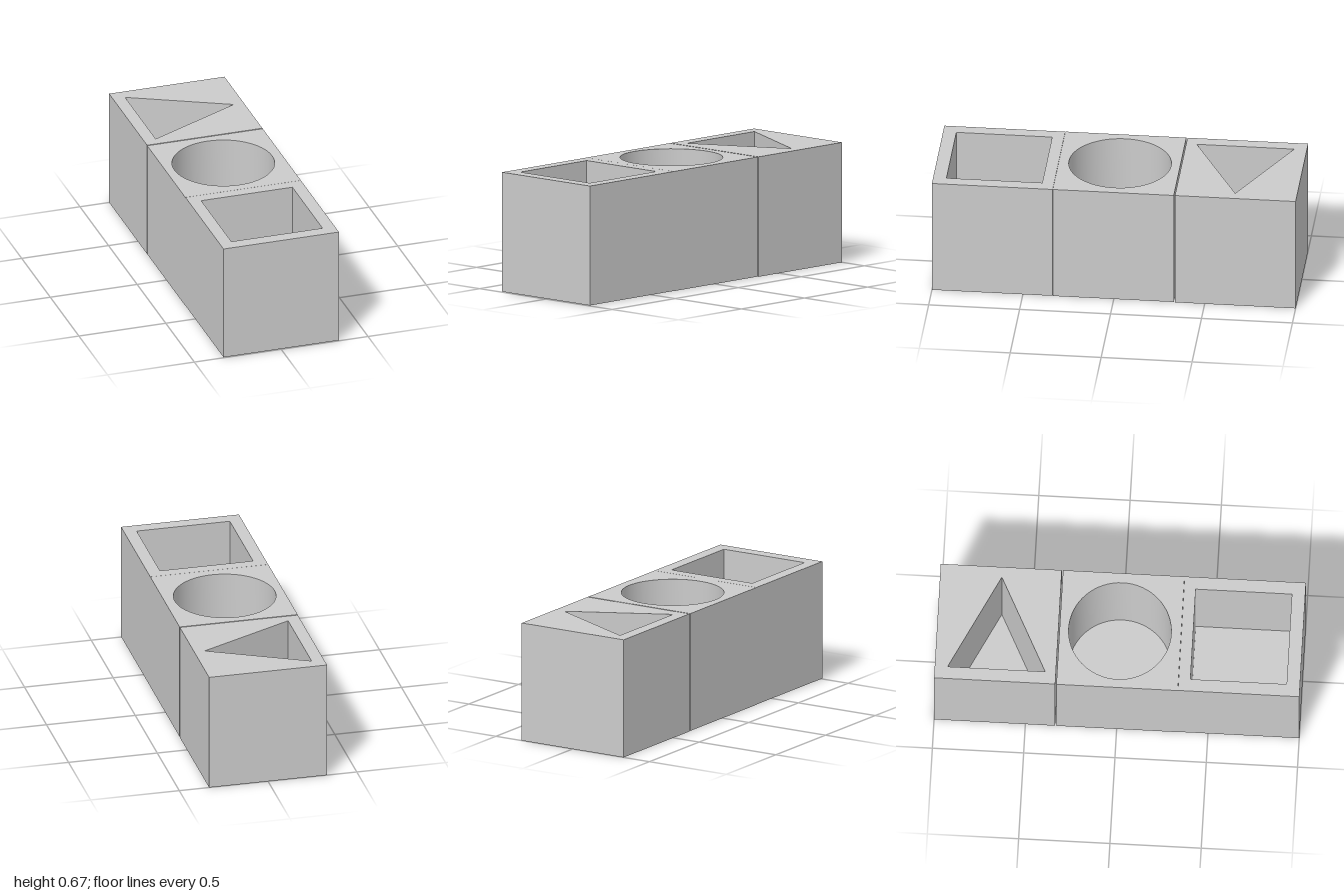
import * as THREE from 'three';
import { toCreasedNormals } from 'three/addons/utils/BufferGeometryUtils.js';

const TOP = 0.665, FLOOR = 0.07;
const material = new THREE.MeshStandardMaterial({ color: 0xcccccc });

// Plan outlines use (x, -z), counter-clockwise seen from above
const plan = pts => pts.map(([x, z]) => new THREE.Vector2(x, -z));
const rect = (x0, x1, z0, z1) => plan([[x0, z1], [x1, z1], [x1, z0], [x0, z0]]);
const circle = (cx, cz, r, n = 64) => plan(Array.from({ length: n }, (_, i) => {
  const a = (i / n) * Math.PI * 2;
  return [cx + r * Math.cos(a), cz - r * Math.sin(a)];
}));

function addMesh(group, name, geometry) {
  const mesh = new THREE.Mesh(geometry, material);
  mesh.name = name;
  group.add(mesh);
}

// Horizontal face looking up at height y
function flatFace(outline, y, hole) {
  const shape = new THREE.Shape(outline);
  if (hole) shape.holes.push(new THREE.Path(hole));
  return new THREE.ShapeGeometry(shape).rotateX(-Math.PI / 2).translate(0, y, 0);
}

// Inward-facing walls following an outline
function pocketWalls(outline, y0, y1) {
  const n = outline.length, pos = [], index = [];
  outline.forEach((p, i) => {
    pos.push(p.x, y0, -p.y, p.x, y1, -p.y);
    const a = 2 * i, b = 2 * ((i + 1) % n);
    index.push(a, b + 1, b, a, a + 1, b + 1);
  });
  const g = new THREE.BufferGeometry();
  g.setAttribute('position', new THREE.Float32BufferAttribute(pos, 3));
  g.setIndex(index);
  return toCreasedNormals(g, 0.5);
}

// Solid cube with a shaped pocket sunk into its top
function pocketBlock(name, [x0, x1], [z0, z1], bottom, hole) {
  const group = new THREE.Group();
  group.name = name;
  const shell = new THREE.BoxGeometry(x1 - x0, TOP - bottom, z1 - z0)
    .translate((x0 + x1) / 2, (TOP + bottom) / 2, (z0 + z1) / 2);
  // Leave out the plain top face; the pierced one replaces it
  const faces = Array.from(shell.index.array);
  faces.splice(12, 6);
  shell.setIndex(faces);
  shell.clearGroups();
  addMesh(group, 'outerShell', shell);
  addMesh(group, 'topRim', flatFace(rect(x0, x1, z0, z1), TOP, hole));
  addMesh(group, 'pocketWalls', pocketWalls(hole, FLOOR, TOP));
  addMesh(group, 'pocketFloor', flatFace(hole, FLOOR));
  return group;
}

export function createModel() {
  const model = new THREE.Group();
  model.name = 'shapeBlocks';
  model.add(
    pocketBlock('squareBlock', [-0.332, 0.332], [0.336, 1], 0.003,
      rect(-0.263, 0.262, 0.4, 0.927)),
    pocketBlock('roundBlock', [-0.333, 0.332], [-0.33, 0.335], 0.002,
      circle(-0.004, 0, 0.281)),
    pocketBlock('triangleBlock', [-0.332, 0.332], [-1, -0.337], 0,
      plan([[-0.263, -0.395], [0.273, -0.662], [-0.263, -0.93]])),
  );
  return model;
}
